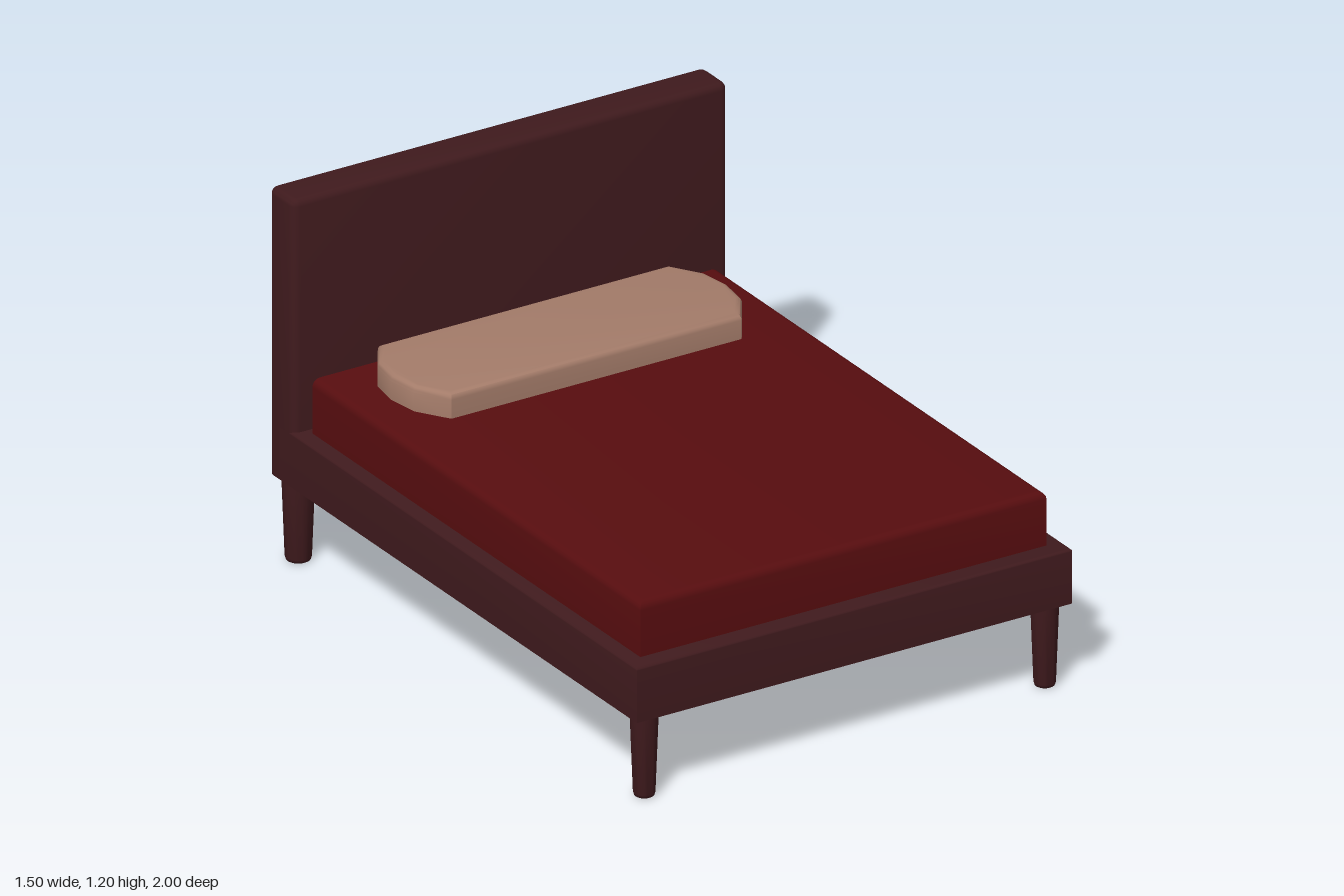
import * as THREE from 'three';
import { toCreasedNormals } from 'three/addons/utils/BufferGeometryUtils.js';

const wood = new THREE.MeshStandardMaterial({ color: 0x3f1a1d });
const fabric = new THREE.MeshStandardMaterial({ color: 0x570d0f });
const linen = new THREE.MeshStandardMaterial({ color: 0xa37b69 });

// Slab standing on y0: a plan outline of [x, z] points, with its top edge rounded by r.
// The rounded underside is cut flat at y0; zMin flattens the back.
function slab(outline, y0, y1, r, zMin = -Infinity) {
  const shape = new THREE.Shape(outline.map(([x, z]) => new THREE.Vector2(x, -z)));
  const geo = new THREE.ExtrudeGeometry(shape, {
    depth: y1 - y0 - r, bevelThickness: r, bevelSize: r, bevelOffset: -r, bevelSegments: 4,
  });
  geo.rotateX(-Math.PI / 2).translate(0, y0, 0);
  const p = geo.attributes.position;
  for (let i = 0; i < p.count; i++) {
    p.setY(i, Math.max(p.getY(i), y0));
    p.setZ(i, Math.max(p.getZ(i), zMin));
  }
  return toCreasedNormals(geo, 0.6);
}

// Plan rectangle with rounded corners
function rect(x, z0, z1, c = 0) {
  if (!c) return [[-x, z1], [x, z1], [x, z0], [-x, z0]];
  const corners = [[x - c, z1 - c], [x - c, z0 + c], [-x + c, z0 + c], [-x + c, z1 - c]];
  const pts = [];
  corners.forEach(([cx, cz], k) => {
    for (let i = 0; i <= 4; i++) {
      const a = Math.PI / 2 - (k + i / 4) * Math.PI / 2;
      pts.push([cx + c * Math.cos(a), cz + c * Math.sin(a)]);
    }
  });
  return pts.reverse();
}

// Tapered round leg with a softened foot
function legGeometry(rTop, rFoot) {
  const pts = [[0, 0], [rFoot - 0.01, 0], [rFoot - 0.003, 0.004], [rFoot, 0.014], [rTop, 0.28], [0, 0.28]];
  return toCreasedNormals(new THREE.LatheGeometry(pts.map(([x, y]) => new THREE.Vector2(x, y)), 24), 0.9);
}

export function createModel() {
  const bed = new THREE.Group();
  bed.name = 'bed';
  const add = (name, geo, mat) => {
    const mesh = new THREE.Mesh(geo, mat);
    mesh.name = name;
    bed.add(mesh);
    return mesh;
  };

  // Base and headboard
  add('bedFrame', slab(rect(0.75, -0.95, 1), 0.27, 0.446, 0.008, -0.94), wood);
  add('headboard', slab(rect(0.75, -1, -0.865, 0.025), 0.27, 1.195, 0.022), wood);

  // Mattress, rounded at the front and sides, square at the back
  add('mattress', slab(rect(0.7, -0.87, 0.94), 0.43, 0.62, 0.025, -0.84), fabric);

  // Pillow with faceted ends
  const end = [[0.5, -0.4], [0.565, -0.5], [0.58, -0.6], [0.565, -0.7], [0.5, -0.8]];
  const outline = [...end, ...end.map(([x, z]) => [-x, z]).reverse()];
  add('pillow', slab(outline, 0.61, 0.7, 0.02), linen);

  // Legs: slimmer at the front, thicker under the headboard
  for (const side of [1, -1]) {
    const label = side > 0 ? 'Left' : 'Right';
    add('front' + label + 'Leg', legGeometry(0.043, 0.033), wood).position.set(side * 0.69, 0, 0.945);
    add('back' + label + 'Leg', legGeometry(0.05, 0.04), wood).position.set(side * 0.69, 0, -0.932);
  }
  return bed;
}
